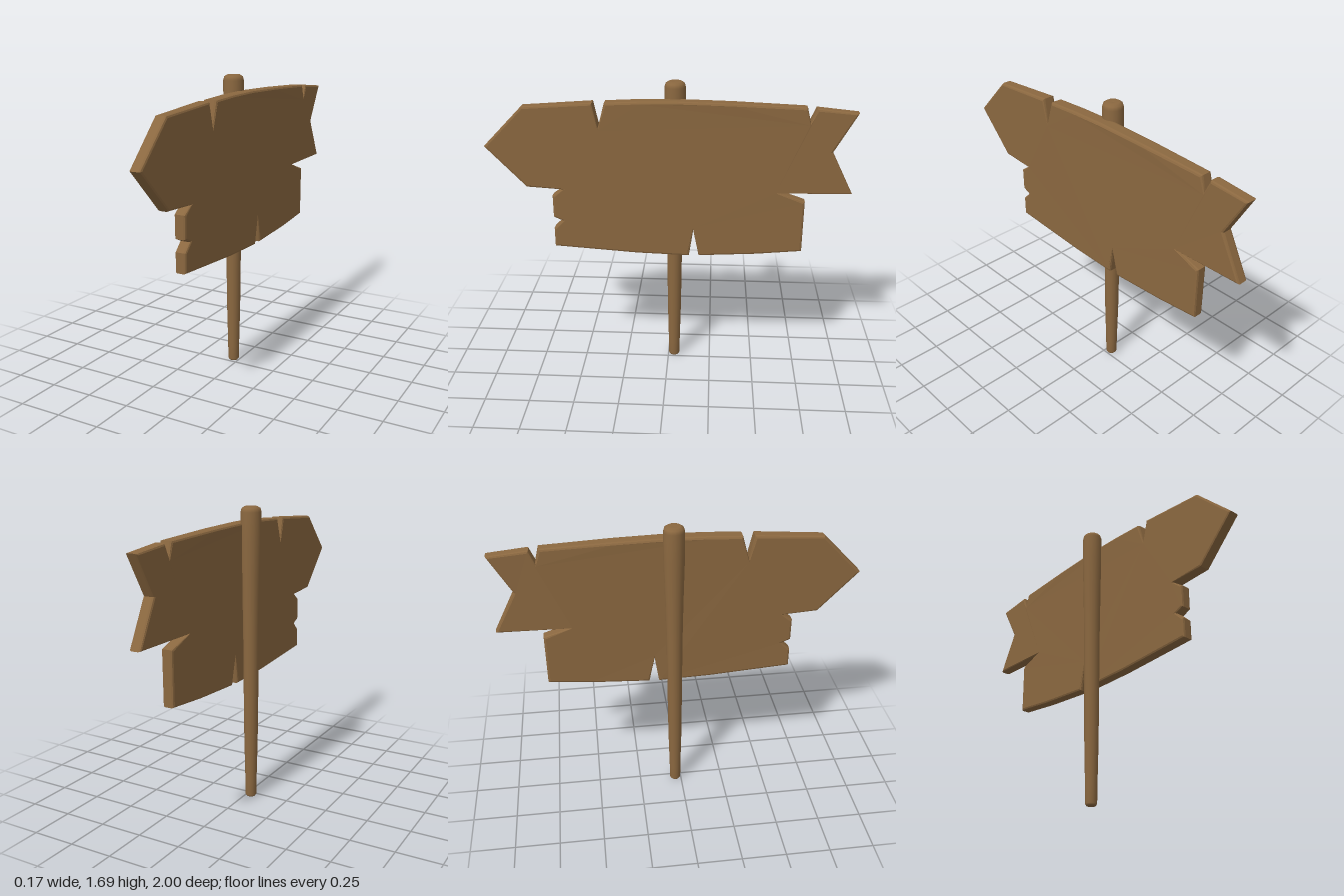
import * as THREE from 'three';

// Outline of the two joined planks: [-z, y]
const OUTLINE = [
  [-1, 1.34], [-0.78, 1.565], [-0.4, 1.592], [-0.372, 1.46], [-0.335, 1.593],
  [-0.15, 1.602], [0.05, 1.605], [0.35, 1.598], [0.73, 1.582], [0.75, 1.505], [0.78, 1.577],
  [1, 1.555], [0.88, 1.34], [1, 1.105], [0.605, 1.103], [0.75, 1.055],
  [0.75, 0.757], [0.5, 0.733], [0.175, 0.715], [0.143, 0.87], [0.12, 0.713],
  [-0.17, 0.722], [-0.64, 0.755], [-0.64, 0.865], [-0.592, 0.912], [-0.64, 0.933],
  [-0.64, 1.06], [-0.585, 1.1], [-0.78, 1.11],
];

function boardGeometry() {
  const shape = new THREE.Shape(OUTLINE.map(([u, y]) => new THREE.Vector2(u, y)).reverse());
  const bevel = 0.012;
  const geo = new THREE.ExtrudeGeometry(shape, {
    depth: 0.04, bevelEnabled: true, bevelThickness: bevel,
    bevelSize: bevel, bevelOffset: -bevel, bevelSegments: 2,
  });
  geo.translate(0, 0, -0.02);
  // the upper plank swells slightly towards its middle
  const p = geo.attributes.position;
  for (let i = 0; i < p.count; i++) {
    const along = Math.max(0, 1 - (p.getX(i) / 0.85) ** 2);
    const up = THREE.MathUtils.smoothstep(p.getY(i), 0.9, 1.45);
    p.setZ(i, p.getZ(i) * (1 + 0.3 * along * up));
  }
  geo.rotateY(Math.PI / 2);
  geo.computeVertexNormals();
  return geo;
}

export function createModel() {
  const group = new THREE.Group();
  const wood = new THREE.MeshStandardMaterial({ color: 0x8b6840 });
  wood.name = 'wood';

  // Notched arrow board
  const board = new THREE.Mesh(boardGeometry(), wood);
  board.name = 'signBoard';
  board.position.x = 0.037;
  group.add(board);

  // Post, thicker towards the top, with rounded ends
  const profile = [
    [0, 0], [0.025, 0.002], [0.032, 0.012], [0.033, 0.1], [0.039, 0.35], [0.042, 0.65],
    [0.045, 1.0], [0.05, 1.25], [0.057, 1.5], [0.057, 1.66], [0.051, 1.68], [0.035, 1.69], [0, 1.686],
  ].map(([r, y]) => new THREE.Vector2(r, y));
  const post = new THREE.Mesh(new THREE.LatheGeometry(profile, 16), wood);
  post.name = 'post';
  post.position.set(-0.032, 0, -0.035);
  group.add(post);

  return group;
}
